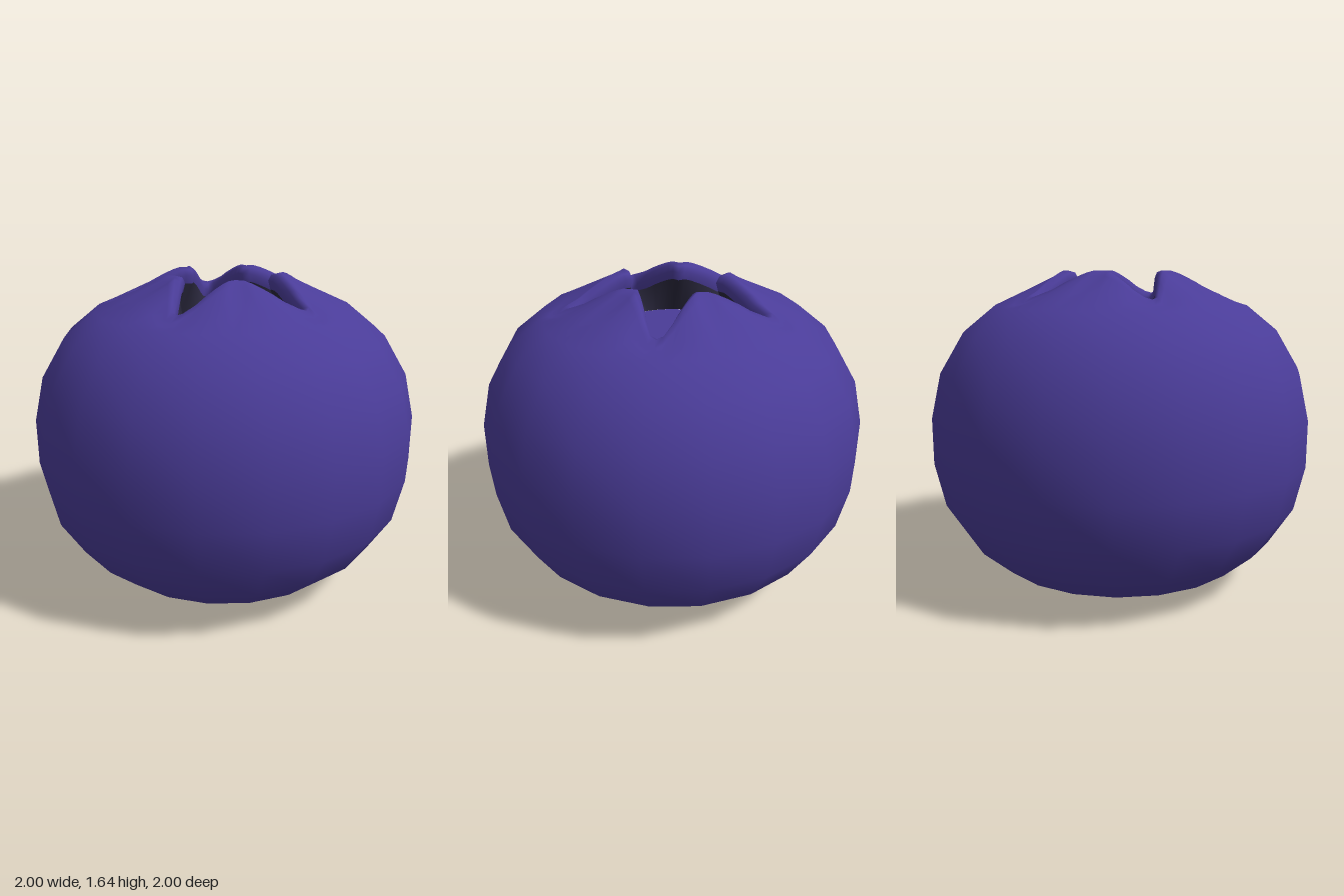
import * as THREE from 'three';

const RAD = Math.PI / 180;
const ARMS = 5, SIDES = 20, TURN = -5;   // star tips line up with the body's facets
const SEAM_R = 0.67, SEAM_Y = 1.46;      // ring where the body meets the crown
const FLOOR_R = 0.31, FLOOR_Y = 1.37;

// Half a star arm, tip to lobe: degrees from the tip, hole radius, crest height
const HALF_ARM = [
  [0, 0.485, 1.51], [3.5, 0.47, 1.52], [8, 0.40, 1.55], [12, 0.355, 1.58],
  [18, 0.306, 1.61], [24, 0.272, 1.63], [29, 0.25, 1.64], [36, 0.225, 1.64],
];

// Mirror each half arm and repeat it round the star
function starColumns() {
  const columns = [];
  for (let k = 0; k < ARMS; k++) {
    const add = ([deg, hole, crest], sign) =>
      columns.push({ deg, hole, crest, angle: (TURN + 72 * k + sign * deg) * RAD });
    HALF_ARM.forEach((c) => add(c, 1));
    HALF_ARM.slice(1, -1).reverse().forEach((c) => add(c, -1));
    // the mirrored half belongs to the next tip
    for (let i = columns.length - HALF_ARM.length + 2; i < columns.length; i++) columns[i].angle += 72 * RAD;
  }
  return columns;
}

// Closed ring surface: profile(column) gives [radius, height] rows from outside in
function ringSurface(columns, profile) {
  const pos = [], index = [], n = columns.length;
  const rows = profile(columns[0]).length;
  for (const c of columns) {
    for (const [r, y] of profile(c)) pos.push(r * Math.cos(c.angle), y, r * Math.sin(c.angle));
  }
  for (let j = 0; j < n; j++) {
    for (let i = 0; i < rows - 1; i++) {
      const a = j * rows + i, b = ((j + 1) % n) * rows + i;
      index.push(a, a + 1, b, b, a + 1, b + 1);
    }
  }
  const g = new THREE.BufferGeometry();
  g.setAttribute('position', new THREE.Float32BufferAttribute(pos, 3));
  g.setIndex(index);
  g.computeVertexNormals();
  return g;
}

// Shared normals along the seam so body and crown shade as one skin
function smoothSeam(g) {
  const p = g.attributes.position;
  for (let i = 0; i < p.count; i++) {
    const x = p.getX(i), z = p.getZ(i), r = Math.hypot(x, z);
    if (Math.abs(p.getY(i) - SEAM_Y) < 1e-4 && r > 0.65) {
      g.attributes.normal.setXYZ(i, 0.5 * x / r, 0.866, 0.5 * z / r);
    }
  }
  return g;
}

function lathe(points, sides) {
  return new THREE.LatheGeometry(points.map(([r, y]) => new THREE.Vector2(r, y)), sides, -TURN * RAD);
}

export function createModel() {
  const group = new THREE.Group();
  const skin = new THREE.MeshStandardMaterial({ color: 0x4a3c98 });
  skin.name = 'berry blue';
  const dark = new THREE.MeshStandardMaterial({ color: 0x28263a });
  dark.name = 'dark hollow';

  const add = (name, geometry, material) => {
    const mesh = new THREE.Mesh(geometry, material);
    mesh.name = name;
    group.add(mesh);
    return mesh;
  };

  // Plump body
  add('body', smoothSeam(lathe([
    [0.26, 0], [0.47, 0.03], [0.67, 0.1], [0.83, 0.24], [0.95, 0.43], [1.002, 0.66],
    [1.002, 0.9], [0.95, 1.13], [0.83, 1.33], [SEAM_R, SEAM_Y],
  ], SIDES)), skin);

  // Shallow stem dimple underneath
  add('stemDimple', lathe([[0, 0.085], [0.1, 0.08], [0.18, 0.06], [0.23, 0.035], [0.26, 0]], SIDES), skin);

  // Crown rising to a rolled, star-shaped lip
  const columns = starColumns();
  const lipEnd = ({ hole, crest }) => [hole + 0.012, crest - 0.085];
  add('crown', smoothSeam(ringSurface(columns, (c) => {
    const { deg, hole: h, crest } = c;
    const seam = SEAM_R * Math.cos(9 * RAD) / Math.cos(((deg % 18) - 9) * RAD);
    return [
      [seam, SEAM_Y],
      [(seam + h + 0.09) / 2, (SEAM_Y + crest - 0.025) / 2],
      [h + 0.09, crest - 0.025],
      [h + 0.05, crest],
      [h + 0.015, crest - 0.01],
      [h, crest - 0.04],
      lipEnd(c),
    ];
  })), skin);

  // Dark wall of the hollow and its floor
  add('hollowWall', ringSurface(columns, (c) => [lipEnd(c), [FLOOR_R, FLOOR_Y]]), dark);
  const floor = add('hollowFloor', new THREE.CircleGeometry(FLOOR_R, 40), skin);
  floor.rotation.x = -Math.PI / 2;
  floor.position.y = FLOOR_Y;

  return group;
}
